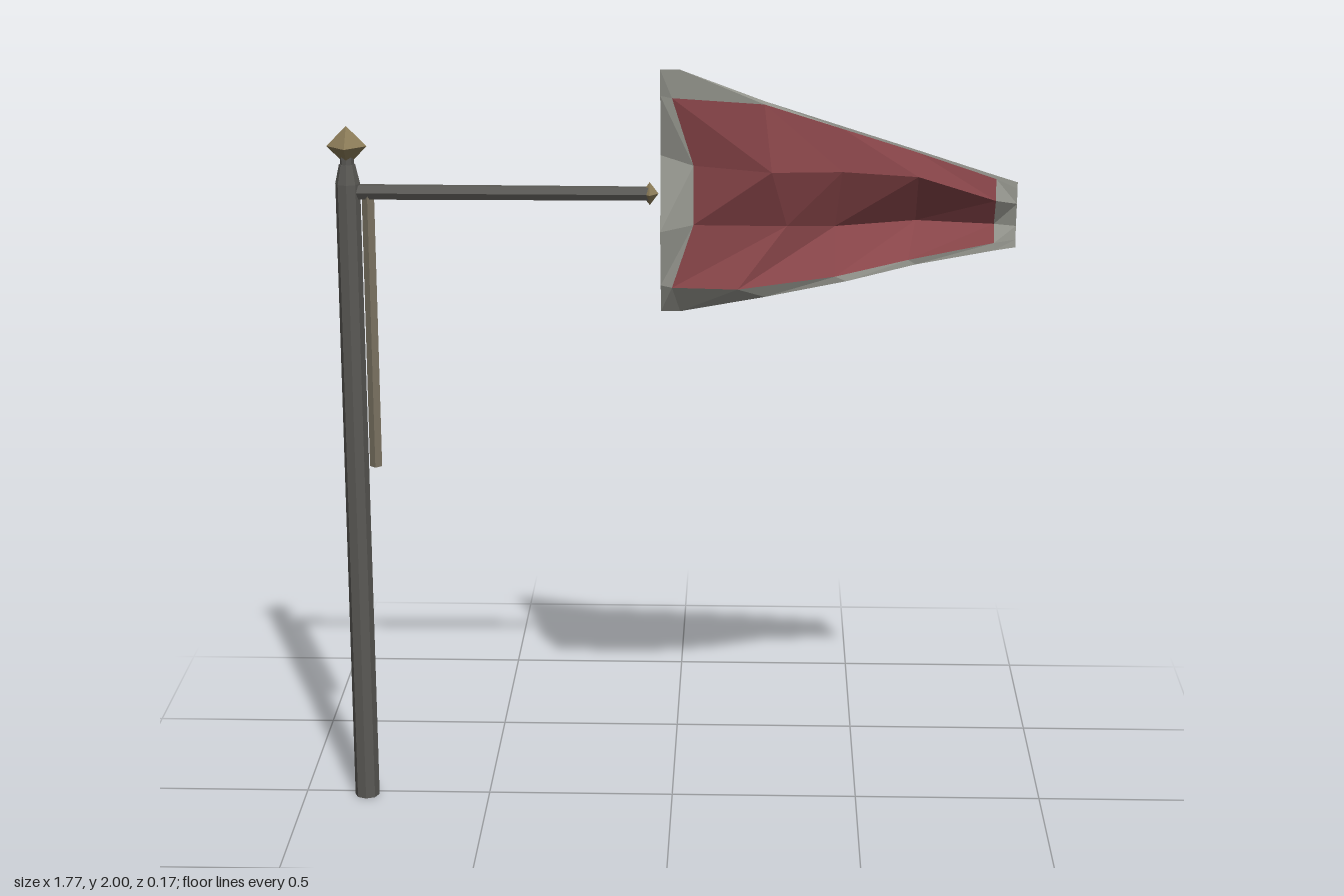
import * as THREE from 'three';

const POLE_X = -0.833, POLE_Z = 0.02, ARM_Y = 1.678;

function material(color, side = THREE.FrontSide) {
  return new THREE.MeshStandardMaterial({ color, flatShading: true, side });
}

// Cross-sections of the cloth from the hoist to the fly end, each from top to bottom.
// The outermost ring of points bounds the pale border.
const CLOTH = [
  [[-0.03, 2, 0.03], [-0.03, 1.93, 0.015], [-0.03, 1.77, -0.02], [-0.03, 1.58, 0.035], [-0.03, 1.43, -0.005], [-0.03, 1.355, -0.03]],
  [[0.02, 2, 0.03], [0, 1.925, 0.02], [0.055, 1.75, 0.015], [0.055, 1.595, 0.015], [0, 1.43, 0.02], [0.02, 1.355, -0.03]],
  [[0.235, 1.926, 0.06], [0.235, 1.918, 0.063], [0.255, 1.747, 0.0845], [0.295, 1.595, 0.02], [0.17, 1.435, 0.055], [0.24, 1.41, 0.03]],
  [[0.435, 1.857, 0.03], [0.435, 1.85, 0.03], [0.435, 1.742, 0.045], [0.42, 1.585, -0.03], [0.42, 1.465, 0.03], [0.45, 1.452, 0.025]],
  [[0.63, 1.79, 0], [0.63, 1.784, 0], [0.63, 1.725, 0.02], [0.63, 1.59, -0.0845], [0.61, 1.5, -0.015], [0.63, 1.487, -0.02]],
  [[0.83, 1.724, -0.01], [0.83, 1.715, -0.01], [0.83, 1.66, 0], [0.83, 1.59, -0.045], [0.83, 1.545, -0.02], [0.83, 1.525, -0.02]],
  [[0.885, 1.707, -0.01], [0.885, 1.69, -0.01], [0.885, 1.65, -0.012], [0.885, 1.59, -0.022], [0.885, 1.555, -0.018], [0.885, 1.535, -0.016]],
];

// Collects either the border cells or the inner cells of the cloth.
function clothGeometry(border) {
  const positions = [];
  const lastCol = CLOTH.length - 2, lastRow = CLOTH[0].length - 2;
  for (let c = 0; c <= lastCol; c++) {
    for (let r = 0; r <= lastRow; r++) {
      const onEdge = c === 0 || r === 0 || c === lastCol || r === lastRow;
      if (onEdge !== border) continue;
      const a = CLOTH[c][r], b = CLOTH[c][r + 1];
      const d = CLOTH[c + 1][r], e = CLOTH[c + 1][r + 1];
      // Folds run down to the right in the upper half and up to the right below
      const corners = r < 2 ? [a, b, e, a, e, d] : [a, b, d, b, e, d];
      for (const p of corners) positions.push(...p);
    }
  }
  const geometry = new THREE.BufferGeometry();
  geometry.setAttribute('position', new THREE.Float32BufferAttribute(positions, 3));
  geometry.computeVertexNormals();
  return geometry;
}

export function createModel() {
  const model = new THREE.Group();
  model.name = 'flagPole';
  const iron = material(0x5a5955);
  const brass = material(0x8c7c58);

  function add(name, geometry, mat, x, y, z = POLE_Z) {
    const mesh = new THREE.Mesh(geometry, mat);
    mesh.name = name;
    mesh.position.set(x, y, z);
    model.add(mesh);
    return mesh;
  }

  // Upright with a tapered cap and a short neck
  add('pole', new THREE.CylinderGeometry(0.032, 0.033, 1.7, 8), iron, POLE_X, 0.85);
  add('poleCap', new THREE.CylinderGeometry(0.021, 0.032, 0.05, 8), iron, POLE_X, 1.725);
  add('neck', new THREE.CylinderGeometry(0.018, 0.018, 0.03, 8), iron, POLE_X, 1.76);
  add('poleFinial', new THREE.OctahedronGeometry(0.052), brass, POLE_X, 1.797);

  // Horizontal arm and its pointed tip
  const arm = add('arm', new THREE.CylinderGeometry(0.019, 0.021, 0.76, 6), iron, -0.44, ARM_Y);
  arm.rotation.z = -Math.PI / 2;
  const tip = add('armFinial', new THREE.OctahedronGeometry(0.03), brass, -0.057, ARM_Y);
  tip.scale.x = 0.75;

  // Slim rod hanging beside the upright
  add('hangingRod', new THREE.CylinderGeometry(0.016, 0.016, 0.73, 4), material(0x7d7564), -0.782, 1.305);

  // Wind-blown flag
  const flag = new THREE.Group();
  flag.name = 'flag';
  const cloth = new THREE.Mesh(clothGeometry(false), material(0x8a464a, THREE.DoubleSide));
  cloth.name = 'flagCloth';
  const border = new THREE.Mesh(clothGeometry(true), material(0x9a9b93, THREE.DoubleSide));
  border.name = 'flagBorder';
  flag.add(cloth, border);
  model.add(flag);

  return model;
}
